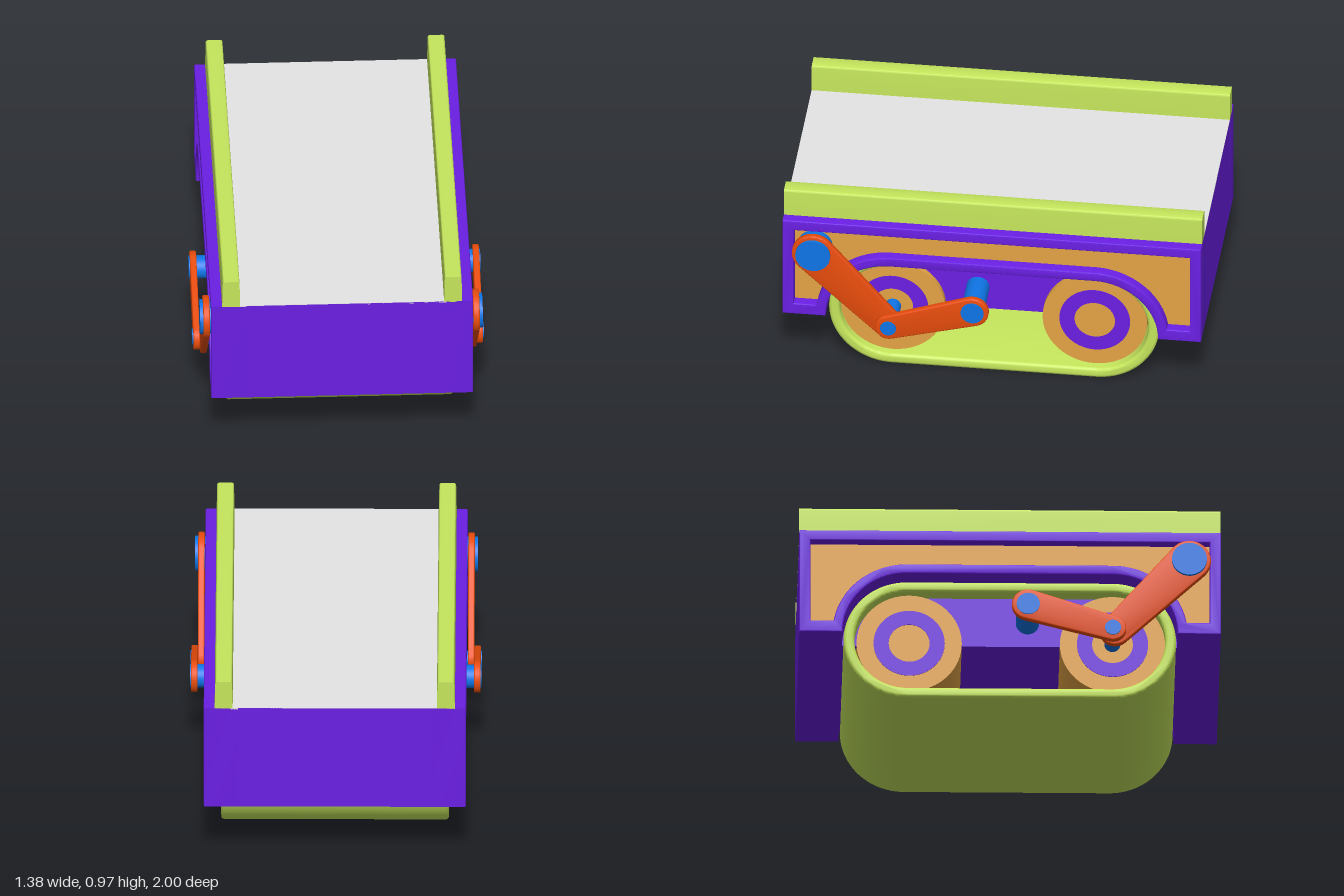
import * as THREE from 'three';
import { toCreasedNormals } from 'three/addons/utils/BufferGeometryUtils.js';

const mat = (name, color) => {
  const m = new THREE.MeshStandardMaterial({ color });
  m.name = name;
  return m;
};

// Side profiles are drawn as (z, y) and extruded between two x positions.
function slab(shape, x0, x1, bevel = 0) {
  const geo = new THREE.ExtrudeGeometry(shape, {
    depth: x1 - x0 - 2 * bevel, curveSegments: 32, bevelEnabled: bevel > 0,
    bevelSize: bevel, bevelThickness: bevel, bevelOffset: -bevel, bevelSegments: 3,
  });
  geo.rotateY(-Math.PI / 2).translate(x1 - bevel, 0, 0);
  return toCreasedNormals(geo, 0.55);
}

const AXLE_Z = 0.487, AXLE_Y = 0.302;
const ROLLER_Z = [0.488, -0.477];

// Closed belt outline around the two axles
function stadium(r, Path = THREE.Shape) {
  const p = new Path();
  p.absarc(AXLE_Z, AXLE_Y, r, -Math.PI / 2, Math.PI / 2, false);
  p.absarc(-AXLE_Z, AXLE_Y, r, Math.PI / 2, Math.PI * 1.5, false);
  p.closePath();
  return p;
}

// Rectangle with a long arch cut from its lower edge
function archedPanel(halfZ, bottom, top, r, Path = THREE.Shape) {
  const a = Math.asin((bottom - AXLE_Y) / r);
  const p = new Path();
  p.moveTo(-halfZ, top);
  p.lineTo(-halfZ, bottom);
  p.absarc(-AXLE_Z, AXLE_Y, r, Math.PI - a, Math.PI / 2, true);
  p.absarc(AXLE_Z, AXLE_Y, r, Math.PI / 2, a, true);
  p.lineTo(halfZ, bottom);
  p.lineTo(halfZ, top);
  p.closePath();
  return p;
}

// Tapered link with round ends
function linkShape([z0, y0, r0], [z1, y1, r1]) {
  const dz = z1 - z0, dy = y1 - y0;
  const dir = Math.atan2(dy, dz), t = Math.acos((r0 - r1) / Math.hypot(dz, dy));
  const s = new THREE.Shape();
  s.absarc(z0, y0, r0, dir + t, dir - t + Math.PI * 2, false);
  s.absarc(z1, y1, r1, dir - t, dir + t, false);
  s.closePath();
  return s;
}

export function createModel() {
  const purple = mat('purple', 0x6a1fe3);
  const ochre = mat('ochre', 0xe4a446);
  const green = mat('lime green', 0xc5e65c);
  const orange = mat('burnt orange', 0xe84c0c);
  const blue = mat('blue', 0x0f76e8);
  const grey = mat('light grey', 0xe5e5e5);

  const model = new THREE.Group();
  model.name = 'trackedPlatform';
  const add = (name, geo, material) => {
    const mesh = new THREE.Mesh(geo, material);
    mesh.name = name;
    model.add(mesh);
    return mesh;
  };
  const rod = (name, x0, x1, r, y, z, material) => {
    const geo = new THREE.CylinderGeometry(r, r, Math.abs(x1 - x0), 48);
    geo.rotateZ(Math.PI / 2).translate((x0 + x1) / 2, y, z);
    return add(name, geo, material);
  };

  // Central body and deck
  add('bodyCore', new THREE.BoxGeometry(0.92, 0.529, 2).translate(0, 0.5665, 0), purple);
  add('deck', new THREE.BoxGeometry(0.99, 0.008, 2).translate(0, 0.829, 0), grey);

  // Wide belt and its rollers
  const beltShape = stadium(0.302);
  beltShape.holes.push(stadium(0.25, THREE.Path));
  add('belt', slab(beltShape, -0.54, 0.54, 0.015), green);
  for (const z of ROLLER_Z) rod('roller', -0.492, 0.492, 0.25, AXLE_Y, z, ochre);

  const frameShape = archedPanel(1, 0.302, 0.832, 0.308);
  frameShape.holes.push(archedPanel(0.947, 0.36, 0.78, 0.355, THREE.Path));
  const panelShape = archedPanel(0.947, 0.36, 0.78, 0.355);

  // Linkage joints as z, y, radius
  const crankTop = [0.85, 0.672, 0.102];
  const crankLow = [0.497, AXLE_Y, 0.073];
  const armLow = [AXLE_Z, AXLE_Y, 0.063];
  const armEnd = [0.085, 0.423, 0.077];

  for (const side of [1, -1]) {
    const plate = (name, shape, inner, outer, material, bevel) =>
      add(name, slab(shape, ...(side > 0 ? [inner, outer] : [-outer, -inner]), bevel), material);
    const pin = (name, inner, outer, r, [z, y]) =>
      rod(name, side * inner, side * outer, r, y, z, blue);

    // Framed side with softened edges and a recessed panel
    plate('sideFrame', frameShape, 0.45, 0.622, purple, 0.006);
    plate('sidePanel', panelShape, 0.46, 0.57, ochre);

    // Painted rings on the roller ends
    for (const z of ROLLER_Z) {
      const ring = new THREE.Shape();
      ring.absarc(z, AXLE_Y, 0.169, 0, Math.PI * 2, false);
      const hole = new THREE.Path();
      hole.absarc(z, AXLE_Y, 0.097, 0, Math.PI * 2, true);
      ring.holes.push(hole);
      plate('rollerRing', ring, 0.49, 0.495, purple);
    }

    // Linkage and pins
    plate('crank', linkShape(crankTop, crankLow), 0.625, 0.656, orange, 0.006);
    plate('arm', linkShape(armLow, armEnd), 0.656, 0.687, orange, 0.006);
    pin('crankPin', 0.56, 0.671, 0.083, crankTop);
    pin('axlePin', 0.48, 0.692, 0.038, armLow);
    pin('armRod', 0.455, 0.692, 0.055, armEnd);

    // Top rail with a softened crown
    const rail = new THREE.Shape();
    rail.moveTo(-0.043, 0.828);
    rail.lineTo(0.043, 0.828);
    rail.lineTo(0.04, 0.96);
    rail.quadraticCurveTo(0.04, 0.972, 0.028, 0.972);
    rail.lineTo(-0.028, 0.972);
    rail.quadraticCurveTo(-0.04, 0.972, -0.04, 0.96);
    rail.closePath();
    const railGeo = new THREE.ExtrudeGeometry(rail, { depth: 2, bevelEnabled: false, curveSegments: 6 });
    add('topRail', toCreasedNormals(railGeo.translate(side * 0.527, 0, -1), 0.55), green);
  }
  return model;
}
